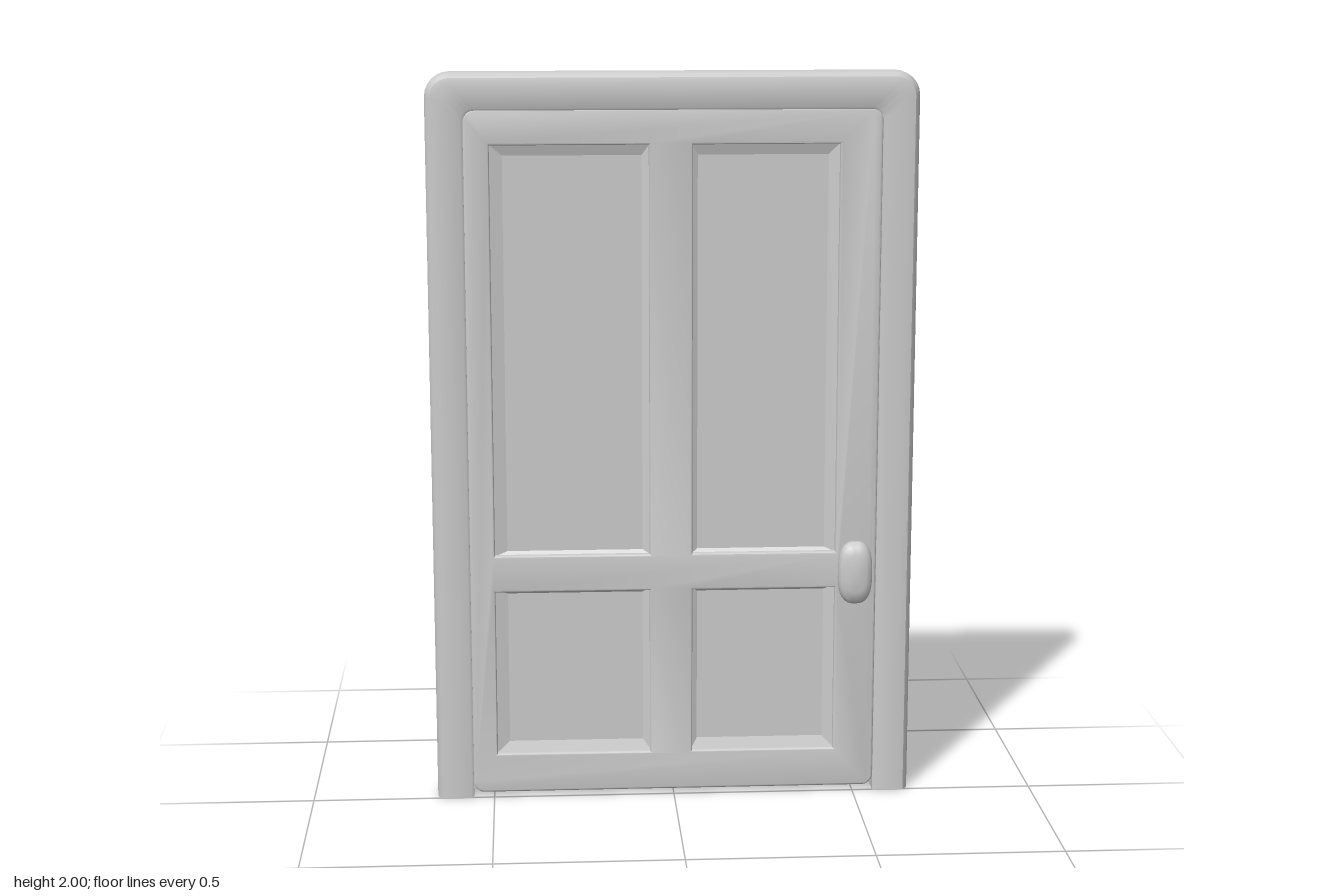
import * as THREE from 'three';
import { toCreasedNormals } from 'three/addons/utils/BufferGeometryUtils.js';

const material = new THREE.MeshStandardMaterial({ color: 0xcccccc });

function addMesh(group, name, geometry) {
  const mesh = new THREE.Mesh(geometry, material);
  mesh.name = name;
  group.add(mesh);
  return mesh;
}

function buildGeometry(positions, index) {
  const g = new THREE.BufferGeometry();
  g.setAttribute('position', new THREE.Float32BufferAttribute(positions, 3));
  g.setIndex(index);
  return toCreasedNormals(g, 0.6);
}

// Arch line from the right foot over the top to the left foot, inset by d
function archLine(d) {
  const w = 0.657 - d, top = 2 - d, r = Math.max(0.065 - d, 0.03);
  const pts = [[w, 0]];
  for (const side of [1, -1]) {
    for (let k = 0; k <= 6; k++) {
      const a = (side > 0 ? 0 : Math.PI / 2) + (k / 6) * Math.PI / 2;
      pts.push([side * (w - r) + r * Math.cos(a), top - r + r * Math.sin(a)]);
    }
  }
  pts.push([-w, 0]);
  return pts;
}

// Door frame: a section of [inset, z] swept along the arch
function frameGeometry() {
  const section = [[0.002, -0.08], [0, -0.06], [0, -0.022], [0.004, -0.009], [0.014, 0.002],
    [0.03, 0.005], [0.094, 0.005], [0.1, 0.001], [0.1, -0.08]];
  const lines = section.map(([d]) => archLine(d));
  const m = section.length, n = lines[0].length;
  const positions = [], index = [];
  for (let i = 0; i < n; i++)
    for (let j = 0; j < m; j++) positions.push(...lines[j][i], section[j][1]);
  for (let i = 0; i < n - 1; i++) {
    for (let j = 0; j < m; j++) {
      const k = (j + 1) % m, a = i * m + j, b = a + m, c = (i + 1) * m + k, d = i * m + k;
      index.push(a, b, c, a, c, d);
    }
  }
  // feet
  const e = (n - 1) * m;
  for (let j = 1; j < m - 1; j++) index.push(0, j, j + 1, e, e + j + 1, e + j);
  return buildGeometry(positions, index);
}

function roundedRect(shape, x0, y0, x1, y1, r) {
  shape.moveTo(x0 + r, y0);
  shape.lineTo(x1 - r, y0);
  shape.absarc(x1 - r, y0 + r, r, -Math.PI / 2, 0);
  shape.lineTo(x1, y1 - r);
  shape.absarc(x1 - r, y1 - r, r, 0, Math.PI / 2);
  shape.lineTo(x0 + r, y1);
  shape.absarc(x0 + r, y1 - r, r, Math.PI / 2, Math.PI);
  shape.lineTo(x0, y0 + r);
  shape.absarc(x0 + r, y0 + r, r, Math.PI, Math.PI * 1.5);
  return shape;
}

// Panel openings and the flat fields within: [x0, y0, x1, y1]
const columns = [[-0.495, -0.06, -0.455, -0.085], [0.045, 0.45, 0.065, 0.415]];
const rows = [[0.12, 0.595, 0.155, 0.58], [0.685, 1.815, 0.7, 1.78]];
const panels = columns.flatMap(c => rows.map(r => ({
  opening: [c[0], r[0], c[1], r[1]],
  field: [c[2], r[2], c[3], r[3]],
})));

// Stiles and rails in one piece, with soft edges round the openings
function doorGeometry() {
  const shape = roundedRect(new THREE.Shape(), -0.557, 0.015, 0.557, 1.905, 0.03);
  const b = 0.006;
  for (const { opening: [x0, y0, x1, y1] } of panels) {
    const hole = new THREE.Path();
    hole.moveTo(x0 + b, y0 + b);
    hole.lineTo(x0 + b, y1 - b);
    hole.lineTo(x1 - b, y1 - b);
    hole.lineTo(x1 - b, y0 + b);
    hole.closePath();
    shape.holes.push(hole);
  }
  const g = new THREE.ExtrudeGeometry(shape, {
    depth: 0.03, bevelThickness: b, bevelSize: b, bevelOffset: -b, bevelSegments: 3, curveSegments: 5,
  });
  g.translate(0, 0, -0.034);
  return toCreasedNormals(g, 0.6);
}

// Sunk panel: sloping border down to a flat field
function panelGeometry({ opening, field }) {
  const ring = ([x0, y0, x1, y1], z) => [x0, y0, z, x1, y0, z, x1, y1, z, x0, y1, z];
  const positions = [...ring(opening, -0.013), ...ring(field, -0.024)];
  const index = [4, 5, 6, 4, 6, 7];
  for (let i = 0; i < 4; i++) {
    const j = (i + 1) % 4;
    index.push(i, j, j + 4, i, j + 4, i + 4);
  }
  const g = new THREE.BufferGeometry();
  g.setAttribute('position', new THREE.Float32BufferAttribute(positions, 3));
  g.setIndex(index);
  return toCreasedNormals(g, 0.1);
}

// Knob: lathe stretched into a tall rounded oblong
function knobGeometry() {
  const profile = [[0.03, -0.01], [0.028, 0.004], [0.02, 0.012], [0.02, 0.022], [0.036, 0.029],
    [0.044, 0.036], [0.047, 0.047], [0.046, 0.06], [0.04, 0.071], [0.028, 0.077], [0, 0.079]];
  const g = new THREE.LatheGeometry(profile.map(p => new THREE.Vector2(...p)), 32);
  g.rotateX(Math.PI / 2);
  const p = g.attributes.position;
  for (let i = 0; i < p.count; i++) {
    const x = p.getX(i), y = p.getY(i), r = Math.hypot(x, y) || 1;
    const s = Math.pow(Math.abs(x / r) ** 2.8 + Math.abs(y / r) ** 2.8, -1 / 2.8) || 1;
    const f = r === 1 ? 1 : s;
    p.setXY(i, x * f, y * f * 1.86);
  }
  return toCreasedNormals(g, 0.9);
}

export function createModel() {
  const model = new THREE.Group();
  model.name = 'door';
  addMesh(model, 'doorFrame', frameGeometry());
  addMesh(model, 'doorStilesAndRails', doorGeometry());

  // Backing slab between the frame legs
  const back = addMesh(model, 'doorBack', new THREE.BoxGeometry(1.116, 1.89, 0.05));
  back.position.set(0, 0.96, -0.055);

  panels.forEach(p => addMesh(model, 'sunkPanel', panelGeometry(p)));

  const knob = addMesh(model, 'doorKnob', knobGeometry());
  knob.position.set(0.493, 0.645, 0);
  return model;
}
